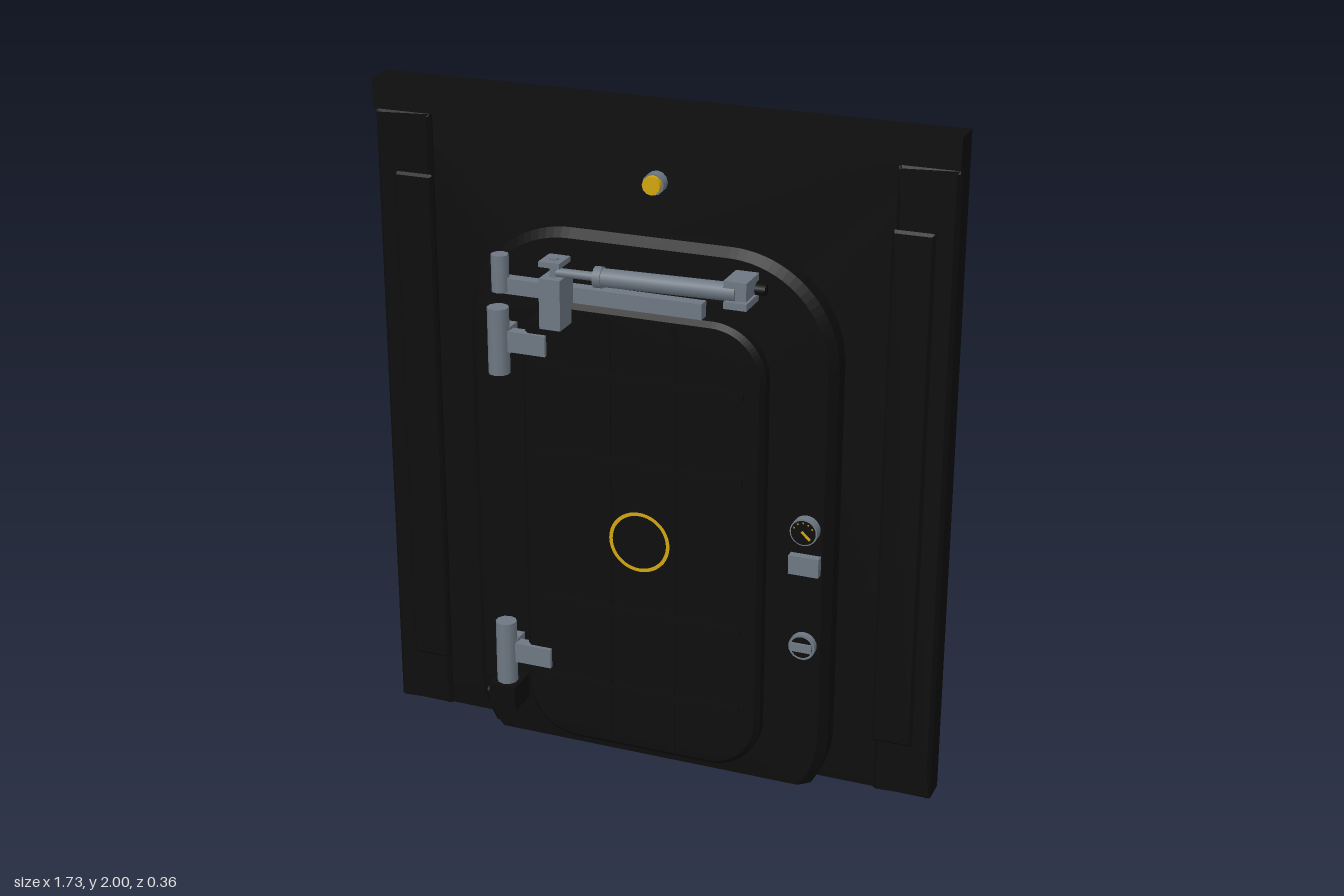
import * as THREE from 'three';

const mat = (name, color) => Object.assign(new THREE.MeshStandardMaterial({ color }), { name });

export function createModel() {
  const black = mat('black paint', 0x0d0d0d);
  const steel = mat('grey steel', 0x6e7883);
  const rodSteel = mat('dark steel', 0x555761);
  const gold = mat('yellow', 0xd2a60e);
  const copper = mat('copper', 0xb87245);

  const model = new THREE.Group();
  model.name = 'vaultDoor';
  const add = (name, geometry, material, x = 0, y = 0, z = 0, parent = model) => {
    const m = new THREE.Mesh(geometry, material);
    m.name = name;
    m.position.set(x, y, z);
    parent.add(m);
    return m;
  };
  // Box given by its limits on each axis
  const box = (name, material, x0, x1, y0, y1, z0, z1, parent = model) =>
    add(name, new THREE.BoxGeometry(x1 - x0, y1 - y0, z1 - z0), material,
      (x0 + x1) / 2, (y0 + y1) / 2, (z0 + z1) / 2, parent);
  // Cylinder between two points
  const rod = (name, material, a, b, r, sides = 12, parent = model) => {
    const p = new THREE.Vector3(...a), q = new THREE.Vector3(...b);
    const m = add(name, new THREE.CylinderGeometry(r, r, p.distanceTo(q), sides), material, 0, 0, 0, parent);
    m.position.copy(p).add(q).multiplyScalar(0.5);
    m.quaternion.setFromUnitVectors(new THREE.Vector3(0, 1, 0), q.sub(p).normalize());
    return m;
  };
  const rounded = (path, x0, x1, y0, y1, r) => {
    path.moveTo(x1, y0 + r);
    path.lineTo(x1, y1 - r);
    path.absarc(x1 - r, y1 - r, r, 0, Math.PI / 2);
    path.absarc(x0 + r, y1 - r, r, Math.PI / 2, Math.PI);
    path.absarc(x0 + r, y0 + r, r, Math.PI, Math.PI * 1.5);
    path.absarc(x1 - r, y0 + r, r, Math.PI * 1.5, Math.PI * 2);
    return path;
  };
  const plate = (shape, z0, z1, bevel) => new THREE.ExtrudeGeometry(shape, {
    depth: z1 - z0 - 2 * bevel, bevelEnabled: bevel > 0, bevelThickness: bevel,
    bevelSize: bevel, bevelOffset: -bevel, bevelSegments: 1, curveSegments: 10,
  }).translate(0, 0, z0 + bevel);

  // Wall, with an opening hidden inside the door frame
  const wall = rounded(new THREE.Shape(), -0.865, 0.865, 0, 2, 0.002);
  wall.holes.push(rounded(new THREE.Path(), -0.42, 0.42, 0.04, 1.48, 0.1));
  add('wall', plate(wall, -0.1, -0.03, 0), black);
  box('topBeam', black, -0.865, 0.865, 1.91, 2, -0.05, -0.004);
  for (const s of [-1, 1]) {
    const column = rounded(new THREE.Shape(), -0.0875, 0.0875, 0, 1.91, 0.004);
    add('column', plate(column, -0.06, -0.012, 0.012), black, s * 0.7775);
    const panel = rounded(new THREE.Shape(), -0.06, 0.06, 0.17, 1.73, 0.008);
    add('columnPanel', plate(panel, -0.02, 0.001, 0.008), black, s * 0.745);
  }

  // Door frame, cut off at the floor
  const frame = rounded(new THREE.Shape(), -0.56, 0.56, -0.15, 1.635, 0.32);
  frame.holes.push(rounded(new THREE.Path(), -0.29, 0.29, 0.12, 1.36, 0.09));
  const frameGeo = plate(frame, -0.147, 0.047, 0.025);
  const pos = frameGeo.attributes.position;
  for (let i = 0; i < pos.count; i++) pos.setY(i, Math.max(0, pos.getY(i)));
  frameGeo.computeVertexNormals();
  add('doorFrame', frameGeo, black);

  // Door leaf with shallow ribs and a ring
  const door = new THREE.Group();
  door.name = 'door';
  model.add(door);
  add('doorLeaf', plate(rounded(new THREE.Shape(), -0.37, 0.37, 0.04, 1.435, 0.16), 0.04, 0.1, 0.015), black, 0, 0, 0, door);
  add('doorPlug', plate(rounded(new THREE.Shape(), -0.32, 0.32, 0.09, 1.39, 0.1), 0.01, 0.05, 0), black, 0, 0, 0, door);
  for (const y of [0.24, 0.5, 0.97, 1.23]) box('crossRib', black, -0.31, 0.31, y - 0.012, y + 0.012, 0.095, 0.107, door);
  for (const x of [-0.1, 0.1]) box('uprightRib', black, x - 0.01, x + 0.01, 0.06, 1.41, 0.095, 0.104, door);
  add('doorRing', new THREE.RingGeometry(0.083, 0.094, 40), gold, 0, 0.737, 0.109, door);
  add('ringBoss', new THREE.CylinderGeometry(0.094, 0.094, 0.012, 40).rotateX(Math.PI / 2), black, 0, 0.737, 0.102, door);

  // Warning lamp
  rod('lampBase', steel, [0, 1.78, -0.035], [0, 1.78, 0.002], 0.032, 12);
  rod('lampLens', gold, [0, 1.78, 0], [0, 1.78, 0.018], 0.027, 12);

  // Hinges
  for (const y of [0.3, 1.3]) {
    rod('hingeBarrel', steel, [-0.434, y - 0.1, 0.105], [-0.434, y + 0.1, 0.105], 0.032, 10);
    box('hingeCollar', steel, -0.467, -0.401, y - 0.04, y + 0.04, 0.04, 0.1);
    box('hingeArm', steel, -0.42, -0.287, y - 0.031, y + 0.031, 0.075, 0.112);
  }
  box('hingeFoot', black, -0.475, -0.39, 0.12, 0.2, 0.04, 0.15);
  rod('footKnob', black, [-0.5, 0.15, 0.1], [-0.47, 0.15, 0.1], 0.014);

  // Closer: swing arm, bracket and ram
  rod('armPivot', steel, [-0.436, 1.44, 0.08], [-0.436, 1.55, 0.08], 0.026, 10);
  box('swingArm', steel, -0.43, 0.178, 1.435, 1.481, 0.05, 0.087);
  box('ramBracket', steel, -0.272, -0.208, 1.38, 1.52, 0.085, 0.178);
  for (const y of [1.512, 1.562]) box('bracketFork', steel, -0.272, -0.208, y, y + 0.016, 0.1, 0.178);
  rod('forkPin', steel, [-0.24, 1.51, 0.14], [-0.24, 1.582, 0.14], 0.014);
  rod('ramRod', steel, [-0.24, 1.54, 0.14], [-0.1, 1.54, 0.136], 0.013);
  rod('ramCylinder', steel, [-0.112, 1.54, 0.136], [0.29, 1.54, 0.115], 0.027, 12);
  rod('ramCap', steel, [-0.118, 1.54, 0.136], [-0.095, 1.54, 0.135], 0.031, 12);
  for (const y of [1.5, 1.56]) box('anchorFork', steel, 0.263, 0.33, y, y + 0.02, 0.04, 0.148);
  box('anchorBlock', steel, 0.272, 0.322, 1.51, 1.57, 0.04, 0.13);
  rod('ramHose', black, [0.33, 1.54, 0.07], [0.36, 1.54, 0.07], 0.016);

  // Gauge, switch box and valve, on both faces of the frame
  for (const back of [false, true]) {
    const set = new THREE.Group();
    set.name = back ? 'backControls' : 'frontControls';
    set.position.set(0.486, 0, back ? -0.145 : 0.045);
    if (back) set.rotation.y = Math.PI;
    model.add(set);
    rod('gaugeCase', steel, [0, 0.838, 0], [0, 0.838, 0.032], 0.041, 24, set);
    add('gaugeFace', new THREE.CircleGeometry(0.037, 24), black, 0, 0.838, 0.0335, set);
    add('gaugeNeedle', new THREE.BoxGeometry(0.034, 0.007, 0.003), gold, 0.008, 0.83, 0.035, set).rotation.z = -0.75;
    for (let i = 0; i < 5; i++) {
      const a = 0.5 + i * 0.55;
      add('gaugeMark', new THREE.BoxGeometry(0.004, 0.004, 0.002), gold,
        Math.cos(a) * 0.03, 0.838 + Math.sin(a) * 0.03, 0.0345, set);
    }
    box('switchBox', steel, -0.045, 0.045, 0.7, 0.758, 0, 0.027, set);
    rod('valveBody', steel, [0, 0.47, 0], [0, 0.47, 0.022], 0.04, 20, set);
    add('valveFace', new THREE.CircleGeometry(0.033, 20), black, 0, 0.47, 0.0235, set);
    box('valveGrip', steel, -0.032, 0.032, 0.457, 0.483, 0.018, 0.03, set);
  }
  rod('lever', copper, [0.41, 0.46, -0.16], [0.41, 0.58, -0.173], 0.01);
  rod('leverPivot', copper, [0.41, 0.465, -0.14], [0.41, 0.465, -0.17], 0.012);

  // Lock mechanism on the back of the door
  const lock = new THREE.Group();
  lock.name = 'lock';
  lock.position.y = 0.735;
  model.add(lock);
  rod('lockDisc', steel, [0, 0, 0.015], [0, 0, -0.035], 0.135, 32, lock);
  rod('lockHub', steel, [0, 0, -0.03], [0, 0, -0.06], 0.07, 24, lock);
  rod('wheelShaft', copper, [0, 0, -0.03], [0, 0, -0.1], 0.028, 16, lock);
  add('handWheel', new THREE.TorusGeometry(0.142, 0.011, 8, 40), copper, 0, 0, -0.08, lock);
  for (let i = 0; i < 5; i++) {
    const a = Math.PI / 2 + i * Math.PI * 0.4;
    rod('wheelSpoke', copper, [0, 0, -0.085], [Math.cos(a) * 0.142, Math.sin(a) * 0.142, -0.08], 0.009, 8, lock);
  }
  for (const sx of [-1, 1]) for (const sy of [-1, 1]) {
    const z = -0.02;
    rod('uprightRod', rodSteel, [sx * 0.03, sy * 0.1, z], [sx * 0.115, sy * 0.46, z], 0.009, 8, lock);
    rod('uprightBolt', rodSteel, [sx * 0.115, sy * 0.45, z], [sx * 0.115, sy * 0.57, z], 0.011, 8, lock);
    box('boltGuide', rodSteel, sx * 0.115 - 0.018, sx * 0.115 + 0.018, sy * 0.5 - 0.015, sy * 0.5 + 0.015, -0.034, 0.015, lock);
    rod('sideRod', rodSteel, [sx * 0.08, sy * 0.09, z], [sx * 0.2, sy * 0.28, z], 0.009, 8, lock);
    rod('sideBolt', rodSteel, [sx * 0.195, sy * 0.28, z], [sx * 0.29, sy * 0.28, z], 0.011, 8, lock);
    box('boltGuide', rodSteel, sx * 0.235 - 0.015, sx * 0.235 + 0.015, sy * 0.28 - 0.018, sy * 0.28 + 0.018, -0.034, 0.015, lock);
  }
  return model;
}
